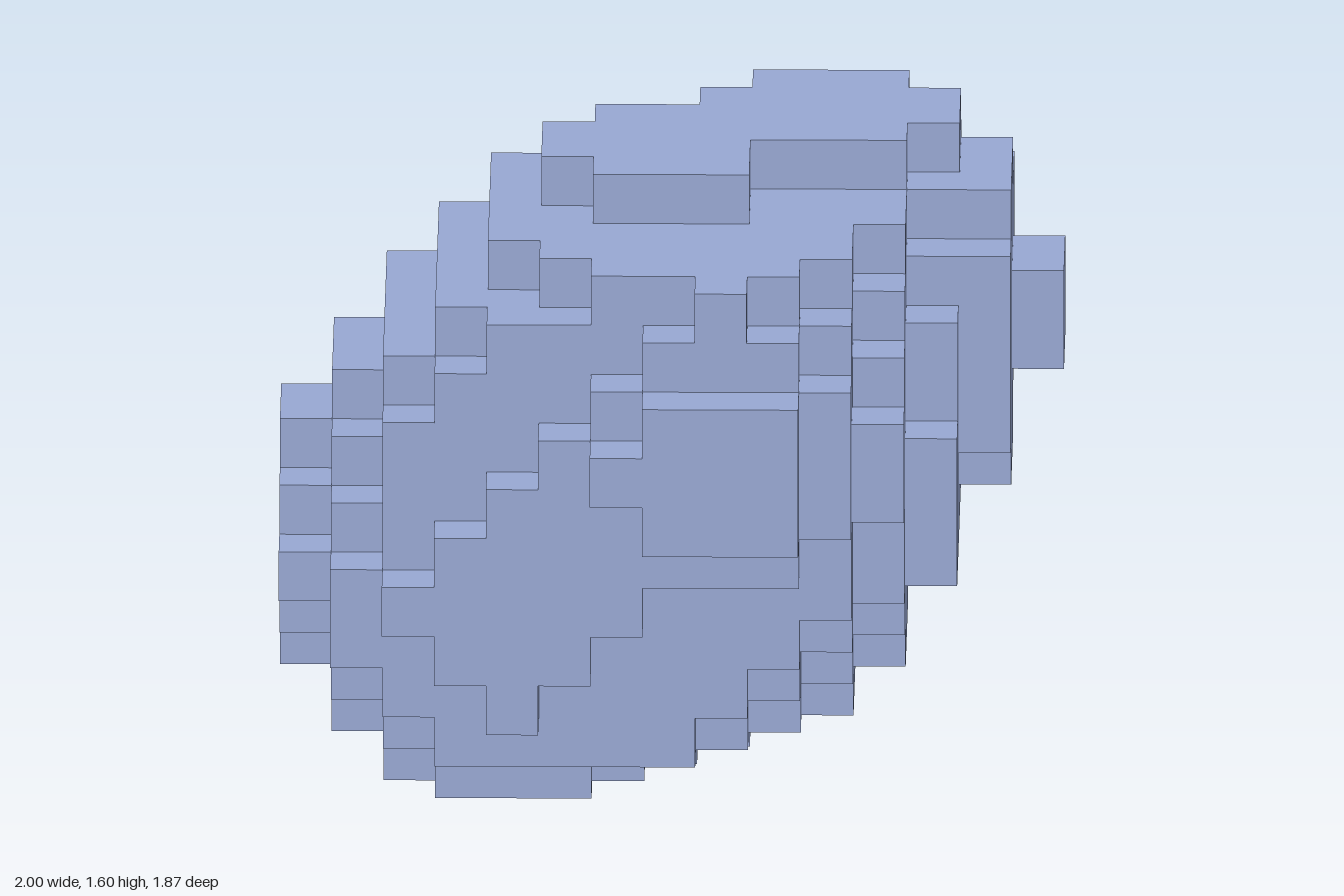
import * as THREE from 'three';

const CELL = 2 / 15;
const COUNT = { x: 15, y: 12, z: 14 };

// Sloping sides of the boulder, in cell units
const left = (y) => Math.max(0, y - 6, 2 - y);
const right = (y) => Math.min(14, Math.floor(9.75 + 0.65 * y), Math.floor(18 - 0.5 * y));
const back = (y) => Math.max(1, y - 8);
const front = (y) => Math.min(12, 10 + y);
const insideHull = (x, y, z) =>
  x >= left(y) && x <= right(y) && z >= y - 8 && z <= 10 + y &&
  x + 0.4 * z >= 2.79 && x - z >= -10 && x + 0.5 * z <= 16.7 && x - 0.5 * z <= 12;

// Corners cut off diagonally into small stairs
const insideCorners = (x, y, z) =>
  x - y - z <= 4 && x - y + z <= 17 && x + y + z <= 30 &&
  x + y + z >= 6 && x + y - z >= -7 && x - y + z >= -3;

// Rounded body, skewed so that it runs from front left to back right
const centred = (v, a, b) => (2 * v - a - b) / (b - a + 1);
function insideBody(x, y, z) {
  const u = centred(x, left(y), right(y)), v = centred(z, back(y), front(y));
  return Math.abs(u) ** 2.6 + Math.abs(v) ** 2.6 + 0.35 * u * v <= 1;
}

// Outer facet: one slice of cells whose two edges curve from start through mid to end
const curve = ([start, mid = start, end = start], t) =>
  Math.round(start + (end - start) * t + (4 * mid - 2 * start - 2 * end) * t * (1 - t));
const facet = (axis, at, from, to, low, high) => ({
  axis, at,
  contains(c) {
    const row = axis === 'y' ? c.z : c.y;
    const across = axis === 'x' ? c.z : c.x;
    const t = (row - from) / (to - from);
    return t >= 0 && t <= 1 && across >= curve(low, t) && across <= curve(high, t);
  },
});
const facets = [
  // Top steps
  facet('y', 11, 3, 5, [9, 8, 6], [11, 12, 12]),
  facet('y', 11, 6, 8, [5, 5, 6], [11, 8, 8]),
  facet('y', 10, 2, 12, [8, 3.4, 8], [12, 12.4, 8]),
  // Two feet
  facet('y', 0, 3, 4, [5], [6]),
  facet('y', 0, 6, 10, [4, 2, 3], [8, 7, 5]),
  // Front
  facet('z', 13, 6, 8, [7, 6, 7], [9]),
  facet('z', 12, 2, 4, [4, 3, 2], [4, 5, 6]),
  facet('z', 12, 5, 10, [3, 5, 8], [9, 9.7, 8]),
  // Back
  facet('z', 1, 1, 9, [4, 3.3, 9], [7, 11, 12]),
  facet('z', 0, 2, 5, [4], [6, 7.3, 6]),
  // Left side
  facet('x', 14, 7, 8, [4], [5]),
  facet('x', 13, 5, 10, [3, 2, 3], [6, 7, 6]),
  facet('x', 12, 4, 11, [2, 0.8, 4], [9, 8.2, 5]),
  facet('x', 11, 2, 11, [1], [8, 10.6, 7]),
  // Right side
  facet('x', 1, 1, 7, [8, 5, 6], [10, 11, 8]),
  facet('x', 0, 2, 6, [8, 7, 7], [8, 9.9, 8]),
];

function solid(x, y, z) {
  const c = { x, y, z };
  const axes = ['x', 'y', 'z'];
  if (axes.some((a) => c[a] < 0 || c[a] >= COUNT[a])) return false;
  if (!insideHull(x, y, z) || !insideCorners(x, y, z)) return false;
  const slices = axes
    .map((a) => facets.filter((f) => f.axis === a && f.at === c[a]))
    .filter((slice) => slice.length);
  if (!slices.length) return insideBody(x, y, z);
  return slices.every((slice) => slice.some((f) => f.contains(c)));
}

// Outward quads on every exposed cell side
function boulderGeometry() {
  const positions = [], normals = [], index = [];
  const addQuad = (cell, axis, sign) => {
    const base = positions.length / 3;
    for (const [a, b] of [[-1, -1], [1, -1], [1, 1], [-1, 1]]) {
      const d = [0, 0, 0];
      d[axis] = sign;
      d[(axis + 1) % 3] = a * sign;
      d[(axis + 2) % 3] = b;
      positions.push(
        (cell[0] + 0.5 + d[0] / 2 - COUNT.x / 2) * CELL,
        (cell[1] + 0.5 + d[1] / 2) * CELL,
        (cell[2] + 0.5 + d[2] / 2 - COUNT.z / 2) * CELL,
      );
      for (let i = 0; i < 3; i++) normals.push(i === axis ? sign : 0);
    }
    index.push(base, base + 1, base + 2, base, base + 2, base + 3);
  };
  for (let x = 0; x < COUNT.x; x++) for (let y = 0; y < COUNT.y; y++) for (let z = 0; z < COUNT.z; z++) {
    if (!solid(x, y, z)) continue;
    for (let axis = 0; axis < 3; axis++) for (const sign of [-1, 1]) {
      const next = [x, y, z];
      next[axis] += sign;
      if (!solid(...next)) addQuad([x, y, z], axis, sign);
    }
  }
  const geometry = new THREE.BufferGeometry();
  geometry.setAttribute('position', new THREE.Float32BufferAttribute(positions, 3));
  geometry.setAttribute('normal', new THREE.Float32BufferAttribute(normals, 3));
  geometry.setIndex(index);
  return geometry;
}

export function createModel() {
  const group = new THREE.Group();
  group.name = 'blockyBoulder';
  const stone = new THREE.MeshStandardMaterial({ color: 0x99a9d4 });
  stone.name = 'blue grey stone';
  const boulder = new THREE.Mesh(boulderGeometry(), stone);
  boulder.name = 'boulder';
  group.add(boulder);
  return group;
}
